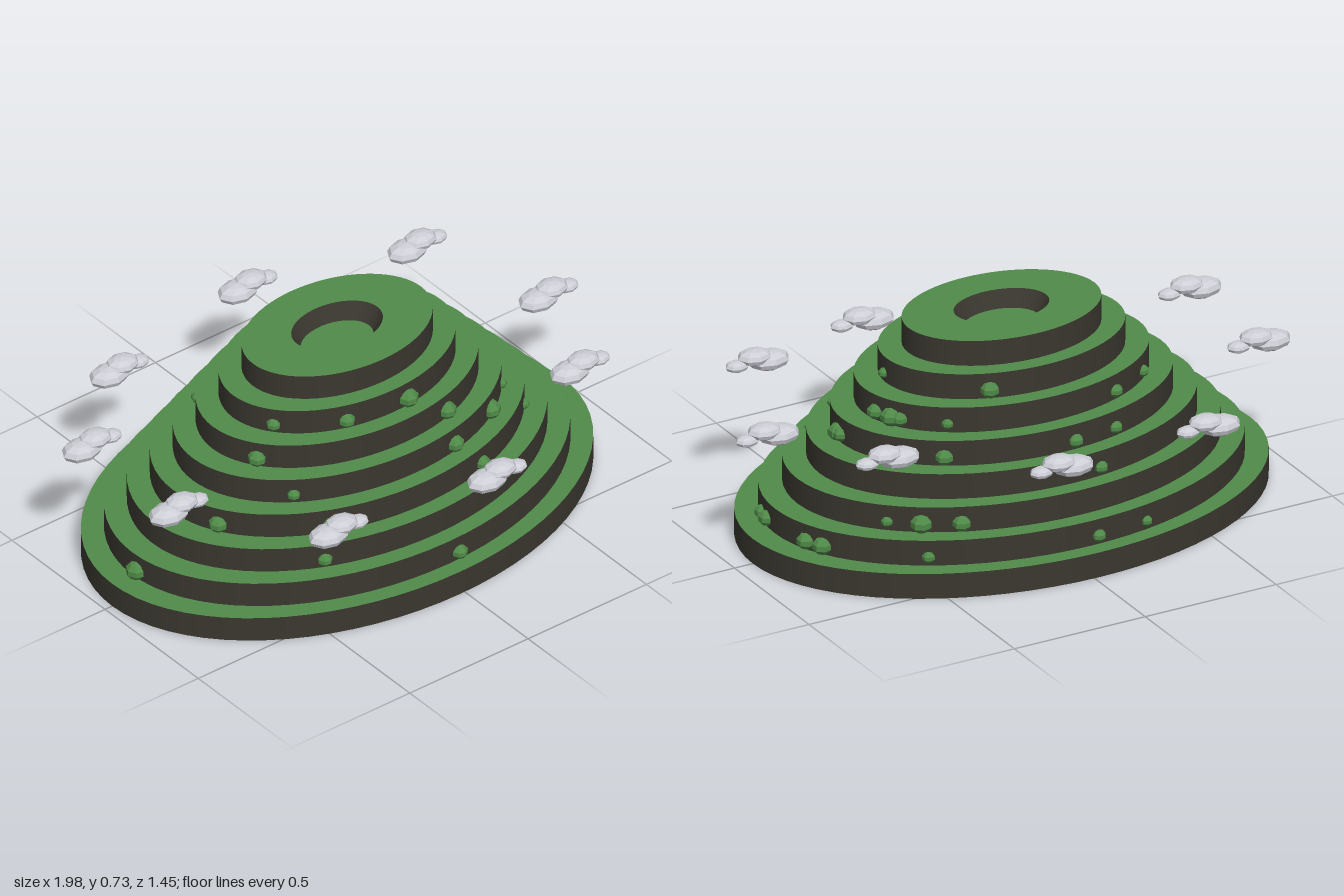
import * as THREE from 'three';

const STEP = 0.0908; // tier height
const CX = -0.02; // hill centre
const RATIO = 0.695; // depth / width of the oval plan
const tierRadius = (i) => 0.95 - 0.085 * i;
const rad = THREE.MathUtils.degToRad;

const mat = (name, color, extra = {}) => {
  const m = new THREE.MeshStandardMaterial({ color, ...extra });
  m.name = name;
  return m;
};

export function createModel() {
  const model = new THREE.Group();
  model.name = 'terracedHill';
  const earth = mat('earth', 0x3a372f);
  const grass = mat('grass', 0x528b4b);
  const leaf = mat('leaf', 0x4f8a48, { flatShading: true });
  const cloudGrey = mat('cloudGrey', 0xcdced6, { flatShading: true });

  const add = (parent, geometry, material, name) => {
    const mesh = new THREE.Mesh(geometry, material);
    mesh.name = name;
    parent.add(mesh);
    return mesh;
  };

  // Oval terraces: earth sides, grass tops
  const hill = new THREE.Group();
  hill.name = 'hill';
  hill.position.x = CX;
  hill.scale.z = RATIO;
  model.add(hill);
  for (let i = 0; i < 7; i++) {
    const r = tierRadius(i);
    const tier = add(hill, new THREE.CylinderGeometry(r, r, STEP, 72), [earth, grass, earth], 'terrace' + (i + 1));
    tier.position.y = STEP * (i + 0.5);
  }

  // Summit ring with a tapered crater
  const top = STEP * 8, rTop = tierRadius(7), floorY = top - 0.06;
  const lathe = (...points) => new THREE.LatheGeometry(points.map((p) => new THREE.Vector2(...p)), 72);
  add(hill, lathe([rTop, STEP * 7], [rTop, top]), earth, 'summitSide');
  add(hill, lathe([rTop, top], [0.17, top]), grass, 'summitTop');
  add(hill, lathe([0.17, top], [0.135, floorY]), earth, 'craterWall');
  add(hill, lathe([0.135, floorY], [0, floorY]), grass, 'craterFloor');

  // Bushes half sunk into the terrace walls: angles per tier, largest bush first
  const bushAngles = [
    [178, -21, -15, 6, 87, 11, -92, -51, -105],
    [-47, -58, 122, -37],
    [120, 158, 68, -99, 34],
    [50, 4, 73, -49, 1, -94, -110, 134, 33],
    [-20, 68, 153, -10, -25, -119, -141, -47],
    [82, -63, 114, 151, 3],
  ];
  const bushGeo = new THREE.SphereGeometry(1, 7, 5);
  bushAngles.forEach((angles, t) => {
    const tier = t + 1, R = tierRadius(tier);
    angles.forEach((deg, n) => {
      const a = rad(deg);
      const r = 0.038 - (0.017 * n) / (angles.length - 1);
      const bush = add(model, bushGeo, leaf, `bush${tier}_${n + 1}`);
      bush.position.set(CX + R * Math.cos(a), STEP * tier + 0.031, R * RATIO * Math.sin(a));
      bush.scale.set(r, r * 0.85, r);
      bush.rotation.y = n * 0.9;
    });
  });

  // Ring of nine clouds at varied heights, each three flattened puffs
  const cloudHeights = [0.462, 0.505, 0.432, 0.43, 0.492, 0.492, 0.42, 0.448, 0.508];
  const puffGeo = new THREE.SphereGeometry(1, 8, 6);
  cloudHeights.forEach((y, k) => {
    const a = rad(k * 40);
    const cloud = new THREE.Group();
    cloud.name = 'cloud' + (k + 1);
    cloud.position.set(CX + 0.9 * Math.cos(a), y, 0.68 * Math.sin(a));
    model.add(cloud);
    const puff = (name, x, py, rx, ry, rz) => {
      const mesh = add(cloud, puffGeo, cloudGrey, name);
      mesh.position.set(x, py, 0);
      mesh.scale.set(rx, ry, rz);
    };
    puff('largePuff', -0.05, -0.008, 0.075, 0.034, 0.055);
    puff('middlePuff', 0.005, 0.015, 0.062, 0.028, 0.048);
    puff('smallPuff', 0.072, -0.005, 0.042, 0.02, 0.033);
  });

  return model;
}
